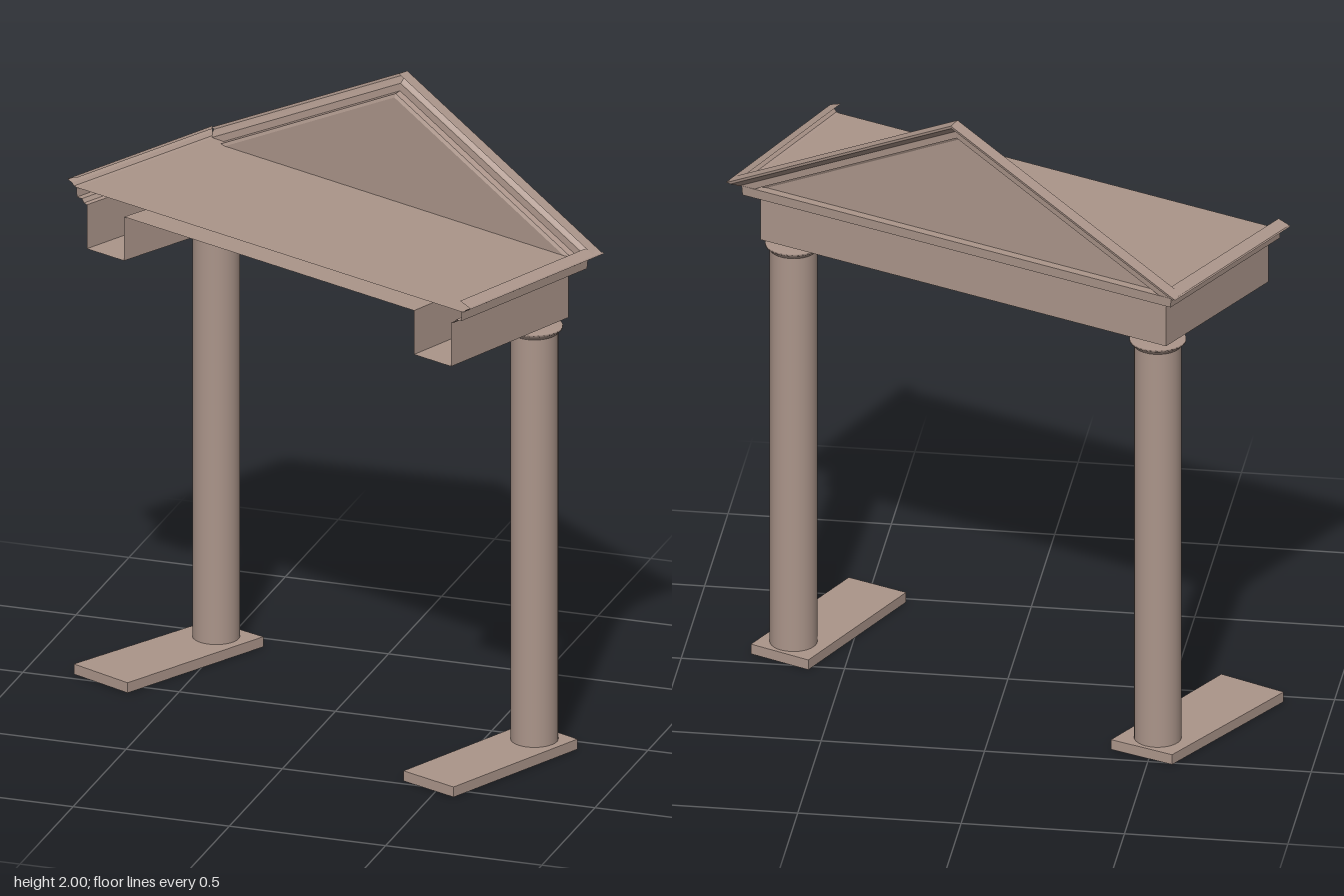
import * as THREE from 'three';

const stone = new THREE.MeshStandardMaterial({ color: 0xab958a, side: THREE.DoubleSide });
stone.name = 'stone';

const FRONT = -0.24;  // outer face of the beam under the pediment
const OPEN = 0.298;   // cut plane of the open side
const DECK = 1.591;   // roof level, below the raised cornice rim

function add(parent, name, geometry) {
  const mesh = new THREE.Mesh(geometry, stone);
  mesh.name = name;
  parent.add(mesh);
  return mesh;
}

// Flat-shaded sheet through a list of equally long point rows
function sheet(rows) {
  const p = [];
  for (let i = 0; i < rows.length - 1; i++) {
    for (let j = 0; j < rows[i].length - 1; j++) {
      const a = rows[i][j], b = rows[i][j + 1], c = rows[i + 1][j + 1], d = rows[i + 1][j];
      p.push(...a, ...b, ...c, ...a, ...c, ...d);
    }
  }
  const g = new THREE.BufferGeometry();
  g.setAttribute('position', new THREE.Float32BufferAttribute(p, 3));
  g.computeVertexNormals();
  return g;
}

// Three-sided plan of the entablature, pushed outward by d; the left return is slightly splayed
function plan(d, y) {
  return [
    [-0.741 - d, y, OPEN], [-0.70 - d, y, FRONT - d],
    [0.729 + d, y, FRONT - d], [0.729 + d, y, OPEN],
  ];
}
const sweep = (profile, from, to) =>
  sheet(profile.map(([d, y]) => plan(d, y).slice(from, to + 1)));

// Level sheet filling the plan at offset d
function level(d, y) {
  const [a, b, c, e] = plan(d, y);
  return sheet([[a, e], [b, c]]);
}

// Thin slab with the given plan outline
function slab(corners, y0, y1) {
  const shape = new THREE.Shape(corners.map(([x, z]) => new THREE.Vector2(x, -z)));
  const g = new THREE.ExtrudeGeometry(shape, { depth: y1 - y0, bevelEnabled: false });
  g.rotateX(-Math.PI / 2);
  g.translate(0, y0, 0);
  return g;
}

export function createModel() {
  const model = new THREE.Group();
  model.name = 'portico';
  const body = new THREE.Group();
  body.name = 'porticoBody';
  body.rotation.y = -0.394;
  model.add(body);

  // Base slabs, running back from under the columns
  add(body, 'leftBaseSlab', slab([[-0.727, -0.25], [-0.515, -0.255], [-0.573, 0.302], [-0.798, 0.293]], 0, 0.033));
  add(body, 'rightBaseSlab', slab([[0.552, -0.255], [0.757, -0.25], [0.736, 0.295], [0.534, 0.295]], 0, 0.033));

  // Columns with flared capitals
  const capital = [[0.0725, 1.36], [0.078, 1.368], [0.086, 1.374], [0.086, 1.381], [0, 1.381]];
  for (const [side, x] of [['left', -0.627], ['right', 0.657]]) {
    add(body, side + 'Column', new THREE.CylinderGeometry(0.0725, 0.0725, 1.34, 32, 1, true))
      .position.set(x, 0.69, -0.166);
    add(body, side + 'Capital', new THREE.LatheGeometry(capital.map(([r, y]) => new THREE.Vector2(r, y)), 32))
      .position.set(x, 0, -0.166);
  }

  // Hollow beam, open at both cut ends, and the ceiling between its inner faces
  add(body, 'beam', sweep([[-0.15, 1.545], [-0.15, 1.402], [0, 1.402], [0, 1.545]], 0, 3));
  add(body, 'ceiling', level(-0.15, 1.545));

  // Cornice: full moulding with a raised rim on the returns, shorter under the pediment
  const lower = [[0, 1.545], [0.012, 1.548], [0.02, 1.56], [0.04, 1.56], [0.042, DECK]];
  const rim = [[0.052, 1.593], [0.06, 1.602], [0.077, 1.608], [0.074, 1.612], [0.036, 1.625]];
  add(body, 'leftCornice', sweep([...lower, ...rim], 0, 1));
  add(body, 'rightCornice', sweep([...lower, ...rim], 2, 3));
  add(body, 'frontCornice', sweep(lower, 1, 2));

  // Flat roof
  add(body, 'roof', level(0.042, DECK));

  // Raking cornice: moulding given as [z, drop below the ridge, height of its foot]
  const slope = 0.493, middle = 0.0145;
  const gable = ([z, drop, foot]) => {
    const reach = (2 - drop - foot) / slope;
    return [[middle - reach, foot, z], [middle, 2 - drop, z], [middle + reach, foot, z]];
  };
  const rake = [[-0.274, 0, 1.612], [-0.314, 0.003, 1.608], [-0.312, 0.012, 1.604], [-0.3, 0.02, 1.598],
    [-0.286, 0.032, DECK], [-0.282, 0.034, DECK], [-0.28, 0.058, DECK], [-0.26, 0.061, DECK], [-0.254, 0.072, DECK]];
  add(body, 'rakingCornice', sheet(rake.map(gable)));

  // Pediment wall
  const wall = new THREE.Shape(gable([0, 0.072, DECK]).map(([x, y]) => new THREE.Vector2(x, y)));
  add(body, 'pedimentWall', new THREE.ShapeGeometry(wall)).position.z = -0.254;

  return model;
}
